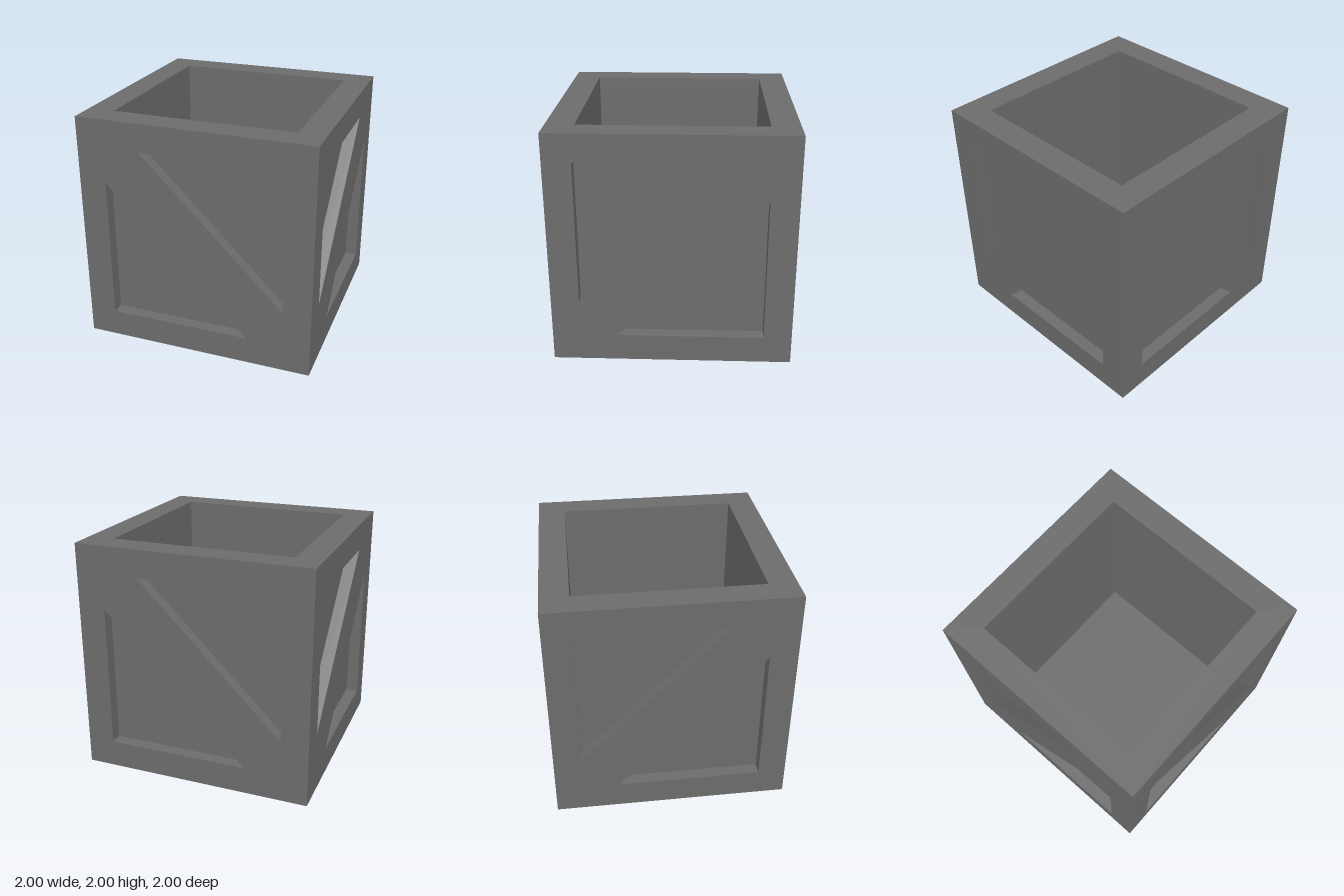
import * as THREE from 'three';

const OUT = 1, SKIN = 0.895; // distances of the outer face and the recessed panel
const IN_X = 0.773, IN_Z = 0.766, FLOOR = 0.77; // inner walls and floor
const A = 0.766, B = 0.458; // recess border and where the brace meets it
const material = new THREE.MeshStandardMaterial({ color: 0x6c6c6c, flatShading: true });

function polygon(points, Type) {
  return new Type(points.map(([x, y]) => new THREE.Vector2(x, y)));
}

// Square plate facing +z, its rim mitred so that six plates close into a cube
function plate(holes) {
  const shape = polygon([[-1, -1], [1, -1], [1, 1], [-1, 1]], THREE.Shape);
  shape.holes = holes.map((h) => polygon(h, THREE.Path));
  const geo = new THREE.ExtrudeGeometry(shape, { depth: OUT - SKIN, bevelEnabled: false });
  geo.translate(0, 0, SKIN);
  const p = geo.attributes.position;
  for (let i = 0; i < p.count; i++) {
    const onRim = Math.max(Math.abs(p.getX(i)), Math.abs(p.getY(i))) > 0.99;
    if (onRim && p.getZ(i) < 0.95) p.setXY(i, p.getX(i) * SKIN, p.getY(i) * SKIN);
  }
  geo.computeVertexNormals();
  return geo;
}

// Two triangular openings that leave a diagonal brace; dir = 1 falls to the right, -1 rises
function bracedPlate(dir) {
  const tri = [[-B, A], [A, A], [A, -B]];
  return plate([1, -1].map((s) => tri.map(([x, y]) => [x * s * dir, y * s])));
}

export function createModel() {
  const crate = new THREE.Group();
  crate.name = 'crate';

  const add = (name, geo, rx = 0, ry = 0) => {
    const mesh = new THREE.Mesh(geo, material);
    mesh.name = name;
    mesh.rotation.set(rx, ry, 0);
    mesh.position.y = 1;
    crate.add(mesh);
  };

  // Four sides: braced frame outside, solid panel behind it
  ['front', 'left', 'back', 'right'].forEach((side, i) => {
    const turn = (i * Math.PI) / 2;
    const flank = i % 2 === 1;
    const inner = flank ? IN_X : IN_Z;
    const width = 2 * (flank ? IN_Z : SKIN);
    add(side + 'Frame', bracedPlate(flank ? -1 : 1), 0, turn);
    const panel = new THREE.BoxGeometry(width, 2 * SKIN, SKIN - inner);
    add(side + 'Panel', panel.translate(0, 0, (SKIN + inner) / 2), 0, turn);
  });

  // Bottom: braced frame below, floor panel above it
  add('bottomFrame', bracedPlate(-1), Math.PI / 2);
  const floor = new THREE.BoxGeometry(2 * IN_X, SKIN - FLOOR, 2 * IN_Z);
  add('floorPanel', floor.translate(0, -(SKIN + FLOOR) / 2, 0));

  // Open top rim
  const opening = [[-IN_X, -IN_Z], [IN_X, -IN_Z], [IN_X, IN_Z], [-IN_X, IN_Z]];
  add('topRim', plate([opening]), -Math.PI / 2);

  return crate;
}
